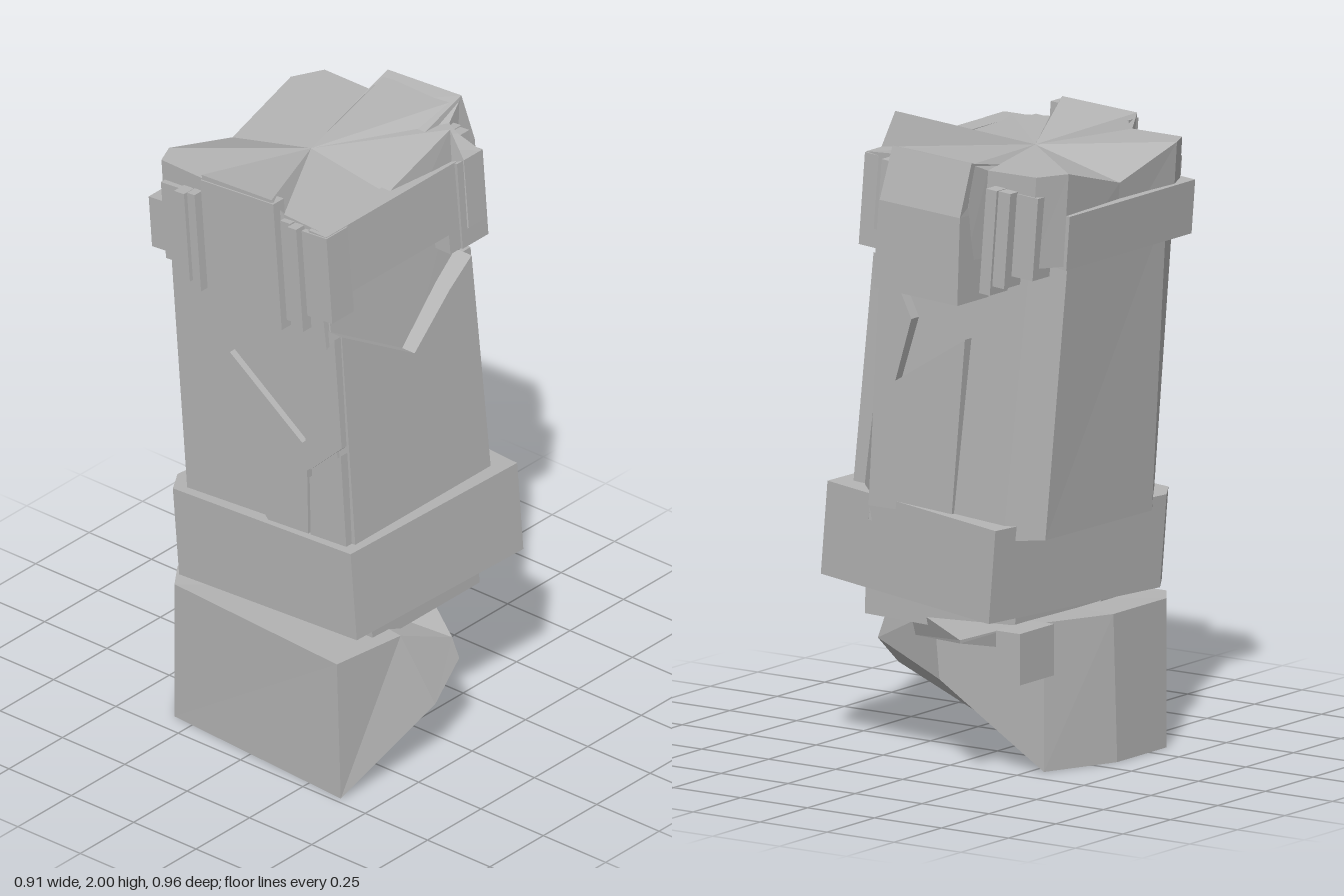
import * as THREE from 'three';

const LEAN = 0.08; // the upper pillar leans towards -x

// Closed solid between two rings of [x, y, z], ordered +x, -z, -x, +z
function loft(bottom, top, topCentre, bottomCentre) {
  const mean = (r) => [0, 1, 2].map((k) => r.reduce((s, p) => s + p[k], 0) / r.length);
  const ct = topCentre || mean(top), cb = bottomCentre || mean(bottom);
  const v = [];
  bottom.forEach((b0, i) => {
    const j = (i + 1) % bottom.length, b1 = bottom[j], t0 = top[i], t1 = top[j];
    v.push(...b0, ...b1, ...t1, ...b0, ...t1, ...t0, ...ct, ...t0, ...t1, ...cb, ...b1, ...b0);
  });
  const g = new THREE.BufferGeometry();
  g.setAttribute('position', new THREE.Float32BufferAttribute(v, 3));
  g.computeVertexNormals();
  return g;
}

// Flat slab from an outline
function slab(points, depth) {
  const shape = new THREE.Shape(points.map(([a, b]) => new THREE.Vector2(a, b)));
  return new THREE.ExtrudeGeometry(shape, { depth, bevelEnabled: false });
}

// Slab for the right side, outlined in (-z, y), leaning from x at height y0
function sideSlab(points, depth, x, y0) {
  const g = slab(points, depth).rotateY(Math.PI / 2);
  const p = g.attributes.position;
  for (let i = 0; i < p.count; i++) p.setX(i, p.getX(i) + x - 0.095 * (p.getY(i) - y0));
  return g;
}

export function createModel() {
  const model = new THREE.Group();
  model.name = 'brokenPillar';
  const stone = new THREE.MeshStandardMaterial({ color: 0xb4b4b4, flatShading: true });
  stone.name = 'grey stone';

  const add = (name, geometry) => {
    const mesh = new THREE.Mesh(geometry, stone);
    mesh.name = name;
    model.add(mesh);
    return mesh;
  };
  const block = (name, x, y, z, w, h, d, lean = LEAN) => {
    const mesh = add(name, new THREE.BoxGeometry(w, h, d));
    mesh.position.set(x, y, z);
    mesh.rotation.z = lean;
  };

  // Broken foot: flat below the front and left, sheared off towards the back right
  add('foot', loft(
    [[0.385, 0, 0.48], [0.455, 0.2, 0.12], [0.44, 0.3, -0.01], [0.1, 0.24, -0.165],
      [-0.29, 0, -0.165], [-0.39, 0, 0.08], [-0.39, 0, 0.34], [-0.325, 0, 0.43]],
    [[0.365, 0.462, 0.475], [0.385, 0.45, 0.2], [0.42, 0.37, 0], [0.12, 0.45, -0.165],
      [-0.29, 0.465, -0.165], [-0.39, 0.465, 0.06], [-0.39, 0.465, 0.34], [-0.325, 0.465, 0.43]],
    null, [-0.02, 0, 0.13]));
  block('footChip', -0.28, 0.385, -0.25, 0.09, 0.16, 0.18, 0);

  // Thin shard pointing backwards from the top of the foot
  add('footShard', loft(
    [[0.24, 0.35, -0.1], [-0.2, 0.445, -0.48], [-0.24, 0.37, -0.15]],
    [[0.26, 0.44, -0.1], [-0.2, 0.455, -0.48], [-0.25, 0.463, -0.15]]));

  // Neck between foot and collar
  block('neck', 0.05, 0.5, 0.02, 0.56, 0.16, 0.5, 0.03);
  for (const x of [-0.2, 0.25]) block('neckChip', x, 0.5, 0.26, 0.08, 0.12, 0.1);

  // Collar
  const collarPlan = [[0.43, -0.31], [-0.275, -0.42], [-0.375, 0.34], [-0.325, 0.42], [0.405, 0.44]];
  add('collar', loft(
    collarPlan.map(([x, z]) => [x + 0.01, 0.522 + x * 0.07, z]),
    collarPlan.map(([x, z]) => [x - 0.015, 0.815 + x * 0.07, z])));

  // Chamfered shaft
  add('shaft', loft(
    [[0.33, 0.75, -0.25], [0.24, 0.75, -0.34], [-0.27, 0.75, -0.35], [-0.37, 0.75, -0.27],
      [-0.385, 0.75, 0.27], [-0.305, 0.75, 0.39], [0.34, 0.75, 0.39], [0.35, 0.75, 0.36]],
    [[0.21, 1.7, -0.23], [0.17, 1.7, -0.3], [-0.35, 1.7, -0.31], [-0.44, 1.7, -0.24],
      [-0.44, 1.7, 0.27], [-0.385, 1.7, 0.385], [0.22, 1.7, 0.385], [0.22, 1.7, 0.36]]));

  // Right facing of the shaft, broken off along a V
  add('sideFacing', sideSlab([[-0.385, 0.8], [0.25, 0.8], [0.24, 1.56], [0.13, 1.49], [-0.05, 1.35],
    [-0.37, 1.54]], 0.08, 0.28, 0.85));

  // Cracked facings, front and back
  const facings = [
    [[-0.12, 1.35], [-0.1, 0.97], [0.05, 0.8], [0.195, 0.8], [0.19, 1.05], [0.17, 1.14]],
    [[0.14, 1.32], [0.175, 1.15], [0.195, 1.05], [0.32, 1.17], [0.29, 1.54]],
    [[0.205, 0.8], [0.35, 0.8], [0.325, 1.15], [0.2, 1.03]],
  ];
  facings.forEach((f, i) => {
    add('frontFacing', slab(f, 0.03)).position.z = i === 1 ? 0.37 : 0.38;
  });
  add('backFacing', slab([[0.23, 0.8], [0.19, 1.5], [0.12, 1.5], [0.07, 1.4], [0.13, 1.2], [-0.13, 1.36],
    [-0.08, 0.8]], 0.04)).position.z = -0.355;

  // Capital body with a cracked, uneven top that dips on the left
  const rim = [[0.22, 1.885, 0.07], [0.24, 2, -0.2], [0.27, 1.89, -0.23], [0.27, 1.89, -0.31], [0.16, 1.9, -0.33],
    [0.1, 1.9, -0.36], [0.08, 1.945, -0.435], [-0.21, 1.93, -0.435], [-0.22, 1.9, -0.36], [-0.4, 1.9, -0.36],
    [-0.45, 1.9, -0.26], [-0.435, 1.82, 0.03], [-0.45, 1.9, 0.31], [-0.42, 1.9, 0.38], [-0.23, 1.9, 0.385],
    [-0.22, 1.942, 0.425], [0.06, 1.958, 0.425], [0.08, 1.9, 0.39], [0.22, 1.89, 0.385]];
  add('capital', loft(
    rim.map(([x, , z]) => [x + 0.02, 1.64 + x * 0.07, z]), rim, [-0.12, 1.9, 0.03]));

  // Right facing of the capital, notched below
  add('capitalSide', sideSlab([[-0.4, 1.6], [-0.3, 1.6], [-0.3, 1.665], [0.15, 1.665], [0.15, 1.6], [0.31, 1.6],
    [0.31, 1.89], [-0.4, 1.89]], 0.07, 0.215, 1.6));

  // Left facing of the capital
  block('capitalLeft', -0.415, 1.685, 0.07, 0.065, 0.17, 0.66);

  // Large front and back keystones, their tops level with the cracked rim
  block('frontKeystone', -0.058, 1.723, 0.405, 0.293, 0.43, 0.05);
  const backMiddle = [[0.1, 1.79, -0.48], [-0.2, 1.77, -0.48], [-0.2, 1.77, -0.27], [0.1, 1.79, -0.27]];
  add('backKeystone', loft(
    [[0.12, 1.515, -0.48], [-0.19, 1.495, -0.48], [-0.19, 1.495, -0.27], [0.12, 1.515, -0.27]], backMiddle));
  add('backKeystoneTop', loft(backMiddle,
    [[0.08, 1.955, -0.44], [-0.215, 1.935, -0.44], [-0.2, 1.9, -0.27], [0.08, 1.9, -0.27]]));

  // Narrow ribs beside the keystones: x, y, width, height, front z, back z
  const ribs = [
    [-0.255, 1.69, 0.03, 0.33, 0.42, -0.41], [-0.295, 1.7, 0.04, 0.3, 0.43, -0.4],
    [-0.355, 1.71, 0.08, 0.26, 0.4, -0.365], [0.115, 1.72, 0.04, 0.34, 0.41, -0.385],
    [0.155, 1.715, 0.035, 0.35, 0.425, -0.38], [0.225, 1.74, 0.1, 0.29, 0.405, -0.32],
  ];
  for (const [x, y, w, h, zf, zb] of ribs) {
    block('frontRib', x, y, zf - 0.05, w, h, 0.1);
    block('backRib', x, y, zb + 0.06, w + 0.01, h, 0.12);
  }
  return model;
}
